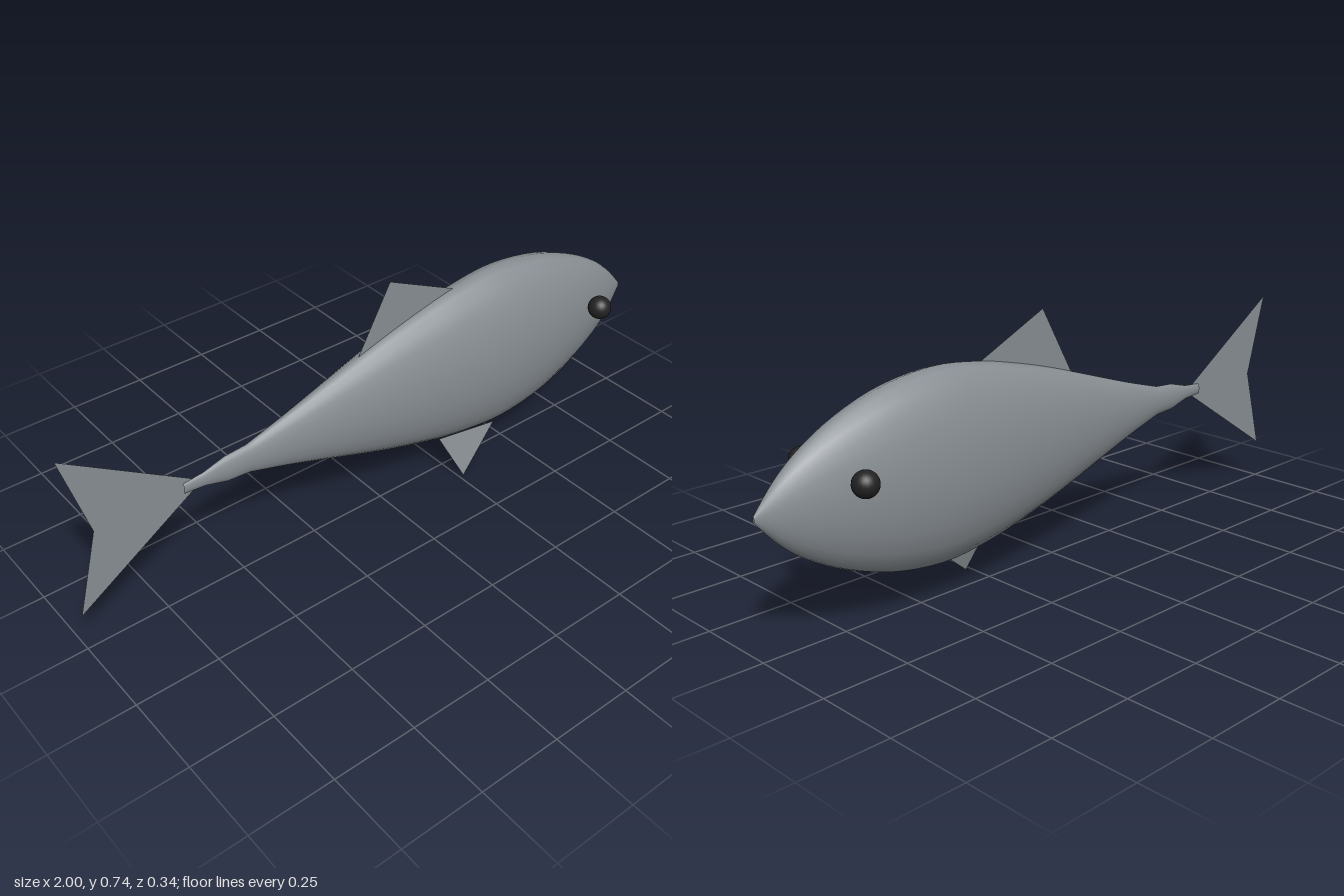
import * as THREE from 'three';

const MID = 0.375; // height of the body axis

export function createModel() {
  const fish = new THREE.Group();
  fish.name = 'fish';

  const skin = new THREE.MeshStandardMaterial({ color: 0x888e93, side: THREE.DoubleSide });
  skin.name = 'greySkin';
  const black = new THREE.MeshStandardMaterial({ color: 0x222222 });
  black.name = 'blackEye';

  const add = (name, geometry, material) => {
    const mesh = new THREE.Mesh(geometry, material);
    mesh.name = name;
    fish.add(mesh);
    return mesh;
  };

  // Body: turned profile (position along x, radius), flattened sideways
  const stem = [[-0.665, 0.016], [-0.6, 0.022], [-0.53, 0.041]];
  const flank = [[-0.46, 0.046], [-0.33, 0.084], [-0.2, 0.126], [0, 0.191], [0.15, 0.232], [0.28, 0.26],
    [0.435, 0.275], [0.6, 0.254], [0.74, 0.206], [0.85, 0.147], [0.93, 0.085], [1, 0.008]];
  const toV2 = ([x, r]) => new THREE.Vector2(r, x);
  const profile = [...stem.map(toV2), ...new THREE.SplineCurve(flank.map(toV2)).getPoints(40)];
  const body = new THREE.LatheGeometry(profile, 24);
  body.rotateZ(-Math.PI / 2);
  body.scale(1, 1, 0.42);
  body.translate(0, MID, 0);
  add('body', body, skin);

  // Upright fins lying in the middle plane
  const flatFin = (name, corners) =>
    add(name, new THREE.ShapeGeometry(new THREE.Shape(corners.map(([x, y]) => new THREE.Vector2(x, y)))), skin);
  flatFin('tailFin', [[-0.605, MID], [-1, 0.63], [-0.93, MID], [-1, 0.12]]);
  flatFin('dorsalFin', [[-0.09, 0.52], [0.28, 0.628], [0.035, 0.742]]);

  // Single belly fin, splayed outward on the front side
  const belly = new THREE.BufferGeometry().setFromPoints([
    new THREE.Vector3(0.195, 0.15, 0.043),
    new THREE.Vector3(0.265, 0, 0.084),
    new THREE.Vector3(0.415, 0.12, 0.051),
  ]);
  belly.computeVertexNormals();
  add('bellyFin', belly, skin);

  // Eyes
  for (const side of [1, -1]) {
    add(side > 0 ? 'frontEye' : 'backEye', new THREE.SphereGeometry(0.036, 24, 16), black)
      .position.set(0.765, 0.44, side * 0.132);
  }

  return fish;
}
